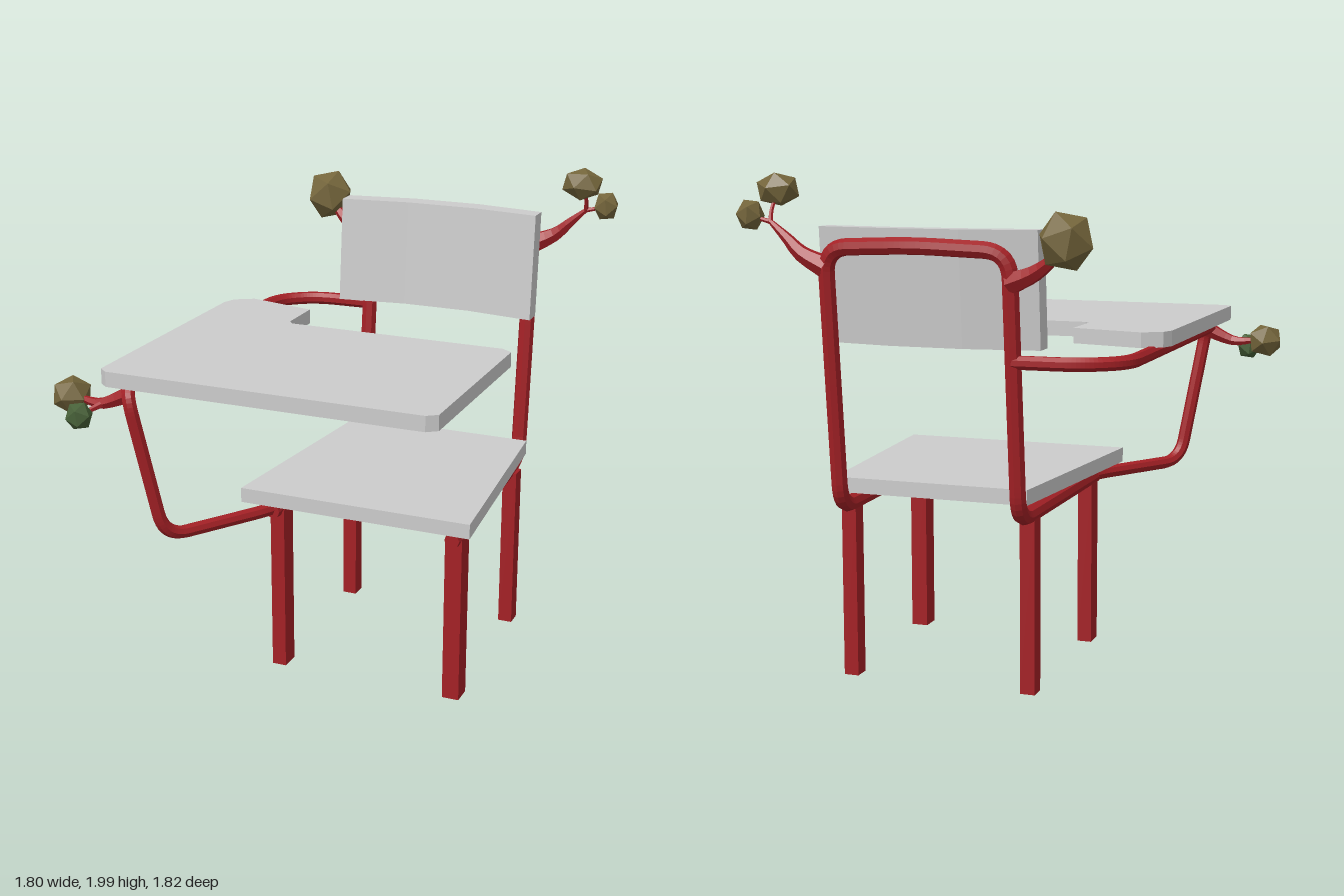
import * as THREE from 'three';

const mat = (color) => new THREE.MeshStandardMaterial({ color, flatShading: true });
const grey = mat(0xcccccc);
const red = mat(0xa32025);
const olive = mat(0x74653b);
const green = mat(0x476038);
const V = (p) => new THREE.Vector3(...p);

function add(group, name, geometry, material) {
  const mesh = new THREE.Mesh(geometry, material);
  mesh.name = name;
  group.add(mesh);
  return mesh;
}

// Straight runs joined by rounded bends
function bentPath(points, bend) {
  const path = new THREE.CurvePath();
  const p = points.map(V);
  let from = p[0];
  for (let i = 1; i < p.length - 1; i++) {
    const toward = (q) => {
      const d = q.clone().sub(p[i]);
      return p[i].clone().addScaledVector(d, Math.min(bend / d.length(), 0.45));
    };
    const a = toward(p[i - 1]), b = toward(p[i + 1]);
    path.add(new THREE.LineCurve3(from, a));
    path.add(new THREE.QuadraticBezierCurve3(a, p[i], b));
    from = b;
  }
  path.add(new THREE.LineCurve3(from, p[p.length - 1]));
  return path;
}

// Twig: a tube whose radius shrinks from r0 to r1
function twigGeometry(points, r0, r1) {
  const curve = new THREE.CatmullRomCurve3(points.map(V));
  const steps = 8, sides = 6;
  const geo = new THREE.TubeGeometry(curve, steps, r0, sides);
  const pos = geo.attributes.position, v = new THREE.Vector3();
  for (let i = 0; i < pos.count; i++) {
    const t = Math.floor(i / (sides + 1)) / steps;
    const c = curve.getPointAt(t);
    v.fromBufferAttribute(pos, i).sub(c).multiplyScalar(1 + (r1 / r0 - 1) * t).add(c);
    pos.setXYZ(i, v.x, v.y, v.z);
  }
  return geo;
}

// Flat board from an (x, z) outline, with its top at the given height
function slab(outline, top, thickness) {
  const shape = new THREE.Shape(outline.map(([x, z]) => new THREE.Vector2(x, z)));
  const geo = new THREE.ExtrudeGeometry(shape, { depth: thickness, bevelEnabled: false });
  return geo.rotateX(Math.PI / 2).translate(0, top, 0);
}

export function createModel() {
  const model = new THREE.Group();
  model.name = 'tabletArmChair';

  // Boards
  add(model, 'seat', slab([[-0.30, 0.38], [0.67, 0.38], [0.585, -0.60], [-0.21, -0.60]], 0.82, 0.06), grey);
  add(model, 'deskTop', slab([
    [-0.63, 0.83], [-0.665, 0.80], [-0.665, -0.22], [-0.645, -0.275], [-0.57, -0.32], [-0.28, -0.255],
    [-0.28, -0.06], [-0.26, -0.035], [0.645, -0.035], [0.69, -0.005], [0.69, 0.80], [0.65, 0.83],
  ], 1.40, 0.06), grey);

  // Curved backrest, leaning backwards with height
  const back = slab([
    [-0.29, -0.595], [0, -0.635], [0.29, -0.635], [0.58, -0.595],
    [0.58, -0.675], [0.29, -0.72], [0, -0.72], [-0.29, -0.675],
  ], 1.80, 0.44);
  const bp = back.attributes.position;
  for (let i = 0; i < bp.count; i++) bp.setZ(i, bp.getZ(i) - (bp.getY(i) - 1.36) * 0.08);
  back.computeVertexNormals();
  add(model, 'backrest', back, grey);

  // Seat rails, uprights and top bar in one bent tube
  const frame = bentPath([
    [0.575, 0.71, 0.31], [0.53, 0.715, -0.665], [0.53, 1.725, -0.762], [0.17, 1.74, -0.785],
    [-0.2, 1.725, -0.762], [-0.2, 0.715, -0.665], [-0.195, 0.71, 0.31],
  ], 0.1);
  add(model, 'frame', new THREE.TubeGeometry(frame, 220, 0.033, 8), red);
  for (const x of [0.575, -0.195]) {
    add(model, 'railEnd', new THREE.CylinderGeometry(0.031, 0.031, 0.04, 8).rotateX(Math.PI / 2), red)
      .position.set(x, 0.71, 0.293);
  }

  // Tube carrying the desk top
  const arm = bentPath([
    [-0.195, 0.715, 0.2], [-0.2, 0.715, 0.3], [-0.465, 0.715, 0.72], [-0.56, 1.315, 0.80],
    [-0.605, 1.32, 0.68], [-0.605, 1.32, -0.60], [-0.46, 1.32, -0.72], [-0.2, 1.32, -0.73],
  ], 0.1);
  add(model, 'deskArm', new THREE.TubeGeometry(arm, 200, 0.027, 8), red);

  // Legs
  for (const [x, z, w, d] of [
    [0.57, 0.235, 0.07, 0.085], [-0.19, 0.235, 0.06, 0.085],
    [0.55, -0.52, 0.06, 0.068], [-0.195, -0.52, 0.06, 0.068],
  ]) {
    add(model, z > 0 ? 'frontLeg' : 'backLeg', new THREE.BoxGeometry(w, 0.7, d), red).position.set(x, 0.355, z);
  }

  // Twigs growing from the frame
  const twigs = [
    [[[-0.2, 1.61, -0.75], [-0.29, 1.645, -0.77], [-0.36, 1.69, -0.79], [-0.43, 1.76, -0.82]], 0.045, 0.012],
    [[[0.53, 1.65, -0.755], [0.63, 1.70, -0.76], [0.69, 1.755, -0.755], [0.765, 1.82, -0.75]], 0.045, 0.009],
    [[[0.76, 1.815, -0.75], [0.765, 1.86, -0.73], [0.755, 1.93, -0.69]], 0.01, 0.006],
    [[[0.76, 1.815, -0.75], [0.80, 1.825, -0.75], [0.85, 1.84, -0.75]], 0.01, 0.006],
    [[[-0.56, 1.305, 0.765], [-0.62, 1.275, 0.77], [-0.69, 1.25, 0.775], [-0.80, 1.26, 0.76]], 0.036, 0.01],
    [[[-0.67, 1.255, 0.775], [-0.70, 1.24, 0.81], [-0.735, 1.22, 0.86]], 0.015, 0.007],
  ];
  for (const [points, r0, r1] of twigs) add(model, 'twig', twigGeometry(points, r0, r1), red);

  // Faceted leaf clusters: centre, radii, turn, material
  const clusters = [
    [[-0.435, 1.77, -0.825], [0.108, 0.112, 0.105], 0.4, olive],
    [[0.755, 1.935, -0.695], [0.09, 0.068, 0.07], 0.8, olive],
    [[0.845, 1.84, -0.75], [0.055, 0.063, 0.058], 0.2, olive],
    [[-0.83, 1.26, 0.75], [0.078, 0.075, 0.088], 1.1, olive],
    [[-0.735, 1.22, 0.86], [0.055, 0.058, 0.055], 0.3, green],
  ];
  for (const [centre, radii, turn, material] of clusters) {
    const geo = new THREE.IcosahedronGeometry(1, 0).rotateY(turn).rotateZ(turn * 0.5);
    const mesh = add(model, 'leafCluster', geo, material);
    mesh.position.set(...centre);
    mesh.scale.set(...radii);
  }

  return model;
}
